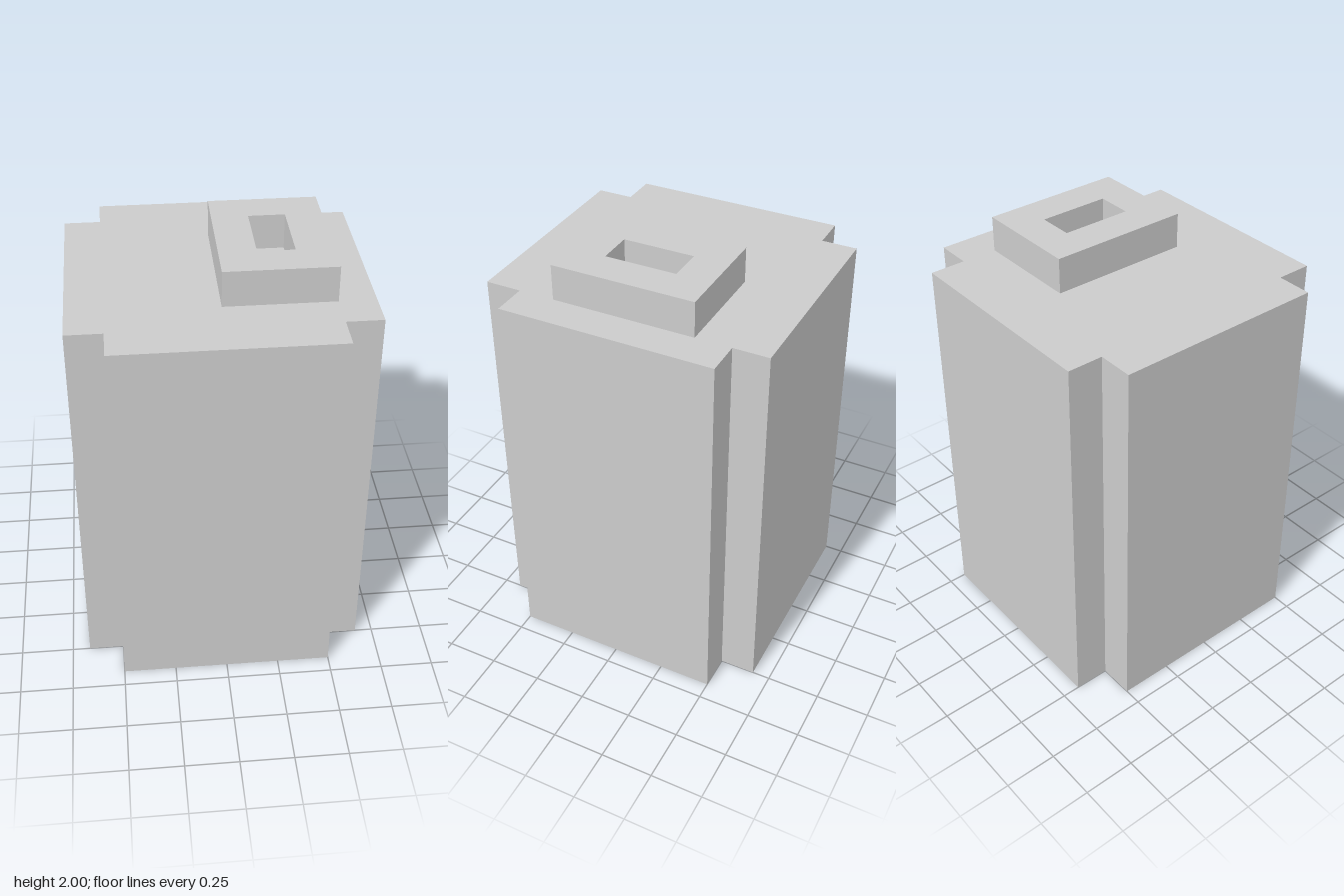
import * as THREE from 'three';

const U = 1 / 6; // one grid unit of the blocky design

// Upright prism from a plan shape drawn in x and z
function prism(name, shape, base, height, material) {
  const geometry = new THREE.ExtrudeGeometry(shape, { depth: height, bevelEnabled: false });
  geometry.rotateX(-Math.PI / 2);
  const mesh = new THREE.Mesh(geometry, material);
  mesh.name = name;
  mesh.position.y = base;
  return mesh;
}

function rectangle(PathType, x, halfW, halfD) {
  return new PathType([
    [x - halfW, -halfD], [x + halfW, -halfD], [x + halfW, halfD], [x - halfW, halfD],
  ].map(([a, b]) => new THREE.Vector2(a, b)));
}

export function createModel() {
  const model = new THREE.Group();
  model.name = 'canister';
  const material = new THREE.MeshStandardMaterial({ color: 0xcccccc, flatShading: true });

  // Tall body: a square with its four corners notched out
  const outer = 4 * U, inner = 3 * U;
  const plan = [];
  for (let i = 0; i < 4; i++) {
    for (const [x, y] of [[outer, inner], [inner, inner], [inner, outer]]) {
      plan.push(new THREE.Vector2(x, y).rotateAround(new THREE.Vector2(), i * Math.PI / 2));
    }
  }
  model.add(prism('body', new THREE.Shape(plan), 0, 11 * U, material));

  // Off-centre spout on top with a rectangular opening
  const collar = rectangle(THREE.Shape, 1.5 * U, 1.5 * U, 2 * U);
  collar.holes.push(rectangle(THREE.Path, 1.5 * U, 0.5 * U, U));
  model.add(prism('spout', collar, 11 * U, U, material));

  return model;
}
